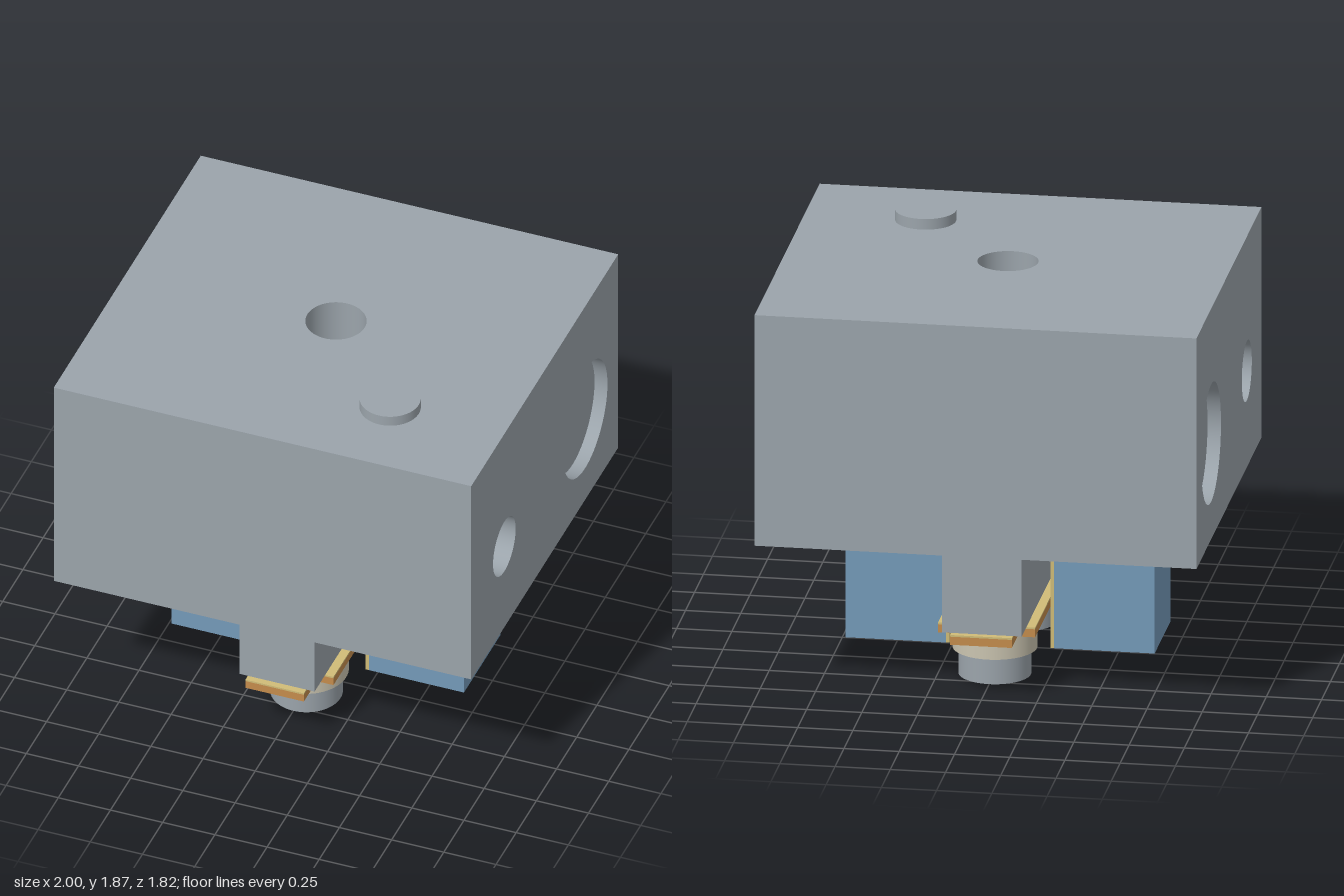
import * as THREE from 'three';

const mat = (name, color, side = THREE.FrontSide) => {
  const m = new THREE.MeshStandardMaterial({ color, side });
  m.name = name;
  return m;
};

export function createModel() {
  const model = new THREE.Group();
  model.name = 'sensorBlock';
  const gray = mat('gray metal', 0x9ba4ab, THREE.DoubleSide);
  const blue = mat('blue', 0x749ab9);
  const copper = mat('copper', 0xc48c4c);
  const gold = mat('pale gold', 0xd0bc78);
  const cream = mat('cream', 0xcac4b0);

  const add = (name, geo, material, x = 0, y = 0, z = 0, parent = model) => {
    const mesh = new THREE.Mesh(geo, material);
    mesh.name = name;
    mesh.position.set(x, y, z);
    parent.add(mesh);
    return mesh;
  };
  // box given by its limits
  const box = (name, material, x0, x1, y0, y1, z0, z1, parent) =>
    add(name, new THREE.BoxGeometry(x1 - x0, y1 - y0, z1 - z0), material,
      (x0 + x1) / 2, (y0 + y1) / 2, (z0 + z1) / 2, parent);
  // upright cylinder given by its limits
  const cyl = (name, material, r, y0, y1, x, z, open = false) =>
    add(name, new THREE.CylinderGeometry(r, r, y1 - y0, 64, 1, open), material, x, (y0 + y1) / 2, z);

  // flat rectangular face with round holes [u, v, radius]
  const face = (w, h, holes = []) => {
    const s = new THREE.Shape([[-w, -h], [w, -h], [w, h], [-w, h]].map(p => new THREE.Vector2(...p)));
    for (const [u, v, r] of holes) s.holes.push(new THREE.Path().absarc(u, v, r, 0, Math.PI * 2, true));
    return new THREE.ShapeGeometry(s, 32);
  };

  // Housing: six faces, bores through the sides and a well in the top
  const X = 1, Z = 0.91, Y0 = 0.73, Y1 = 1.82, H = (Y1 - Y0) / 2, YM = (Y0 + Y1) / 2;
  const boreY = 1.185;
  const bores = [
    { z: 0.5, r: 0.14, end: 0.7 },
    { z: -0.5, r: 0.277, end: 0.94 },
  ];
  add('housingFront', face(X, H), gray, 0, YM, Z);
  add('housingBack', face(X, H).rotateY(Math.PI), gray, 0, YM, -Z);
  add('housingTop', face(X, Z, [[0, 0, 0.137]]).rotateX(-Math.PI / 2), gray, 0, Y1, 0);
  add('housingBottom', face(X, Z).rotateX(Math.PI / 2), gray, 0, Y0, 0);
  for (const s of [1, -1]) {
    const holes = bores.map(b => [-s * b.z, boreY - YM, b.r]);
    add(s > 0 ? 'housingLeft' : 'housingRight', face(Z, H, holes).rotateY(s * Math.PI / 2), gray, s * X, YM, 0);
  }
  for (const { z, r, end } of bores) {
    cyl('boreWall', gray, r, boreY - X, boreY + X, 0, z, true).rotation.z = Math.PI / 2;
    cyl('borePlug', gray, r - 0.005, boreY - end, boreY + end, 0, z).rotation.z = Math.PI / 2;
  }
  cyl('wellWall', gray, 0.137, 1.4, Y1, 0, 0, true);
  cyl('wellFloor', blue, 0.137, 1.38, 1.4, 0, 0);
  cyl('topButton', gray, 0.137, Y1, 1.87, 0.453, 0.5);

  // Stem under the housing
  box('stem', gray, -0.18, 0.18, 0.304, Y0, -0.73, 0.73);

  // Cross-shaped mounting plate with notched corners and a gold top layer
  const q = [[0.22, 0.6], [0.14, 0.6], [0.14, 0.76]];
  const outline = [
    ...q,
    ...[...q].reverse().map(([x, z]) => [-x, z]),
    ...q.map(([x, z]) => [-x, -z]),
    ...[...q].reverse().map(([x, z]) => [x, -z]),
  ].map(p => new THREE.Vector2(...p));
  const plate = depth =>
    new THREE.ExtrudeGeometry(new THREE.Shape(outline), { depth, bevelEnabled: false }).rotateX(-Math.PI / 2);
  add('mountingPlate', plate(0.038), copper, 0, 0.258, 0);
  add('plateTopLayer', plate(0.008), gold, 0, 0.296, 0);

  // Two feet
  for (const z of [0.365, -0.365]) {
    cyl('footCollar', cream, 0.19, 0.125, 0.258, 0, z);
    cyl('footTip', gray, 0.163, 0, 0.125, 0, z);
  }

  // Blue side blocks with gold inner pads
  for (const s of [1, -1]) {
    const block = new THREE.Group();
    block.name = s > 0 ? 'leftBlock' : 'rightBlock';
    model.add(block);
    const span = (a, b) => (s > 0 ? [a, b] : [-b, -a]);
    box('blockBody', blue, ...span(0.245, 0.7), 0.08, 0.53, -0.225, 0.225, block);
    box('blockPad', gold, ...span(0.228, 0.245), 0.08, 0.53, -0.225, 0.225, block);
  }
  return model;
}
